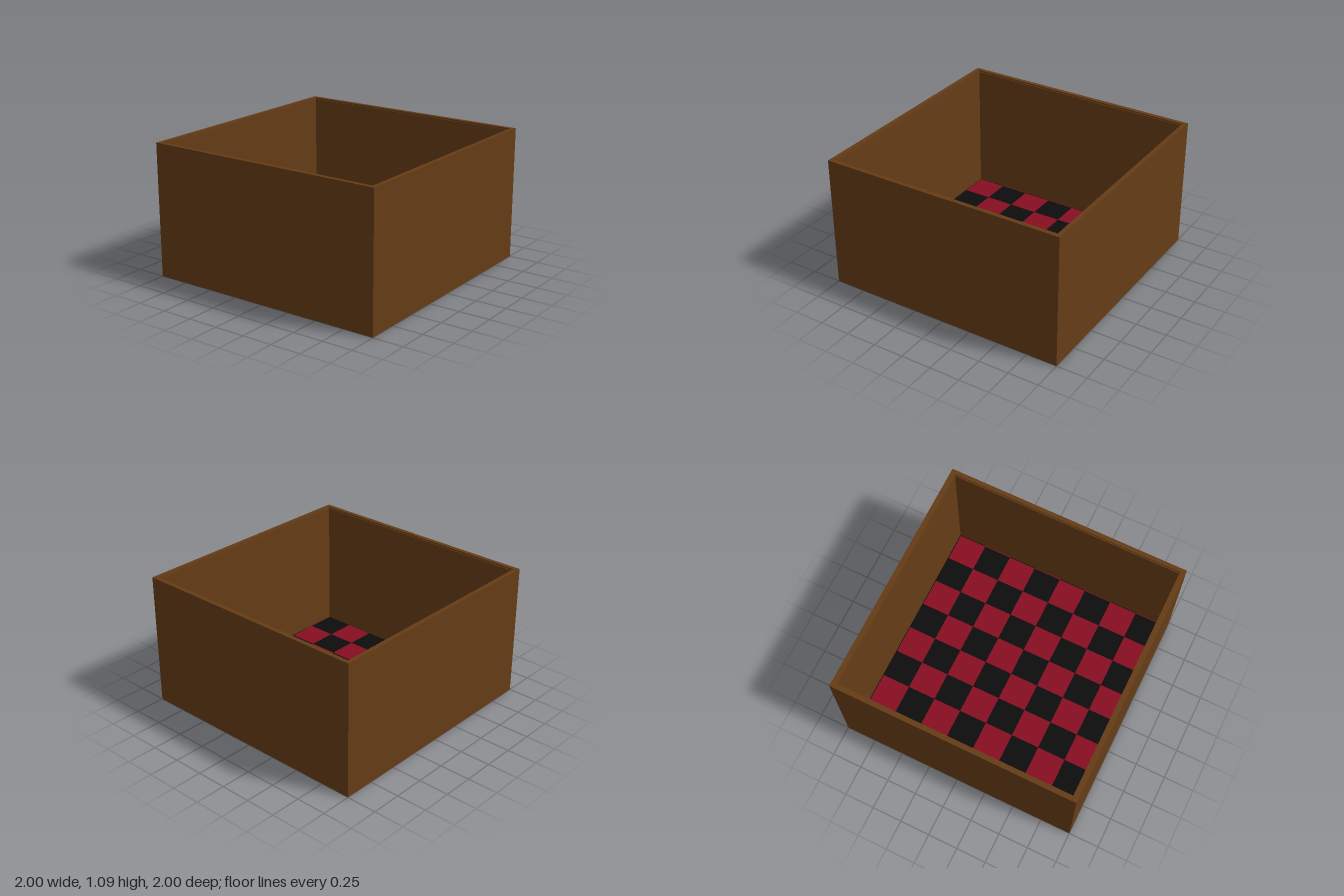
import * as THREE from 'three';

const HEIGHT = 1.085;
const material = (color) => new THREE.MeshStandardMaterial({ color });
const wood = material(0x653c16);
const red = material(0x880e22);
const black = material(0x0d0d0d);

// Square frame standing on y, from half-width outer to half-width inner
function squareFrame(name, outer, inner, y, height) {
  const square = (r) => [[-r, -r], [r, -r], [r, r], [-r, r]].map(([a, b]) => new THREE.Vector2(a, b));
  const shape = new THREE.Shape(square(outer));
  shape.holes.push(new THREE.Path(square(inner).reverse()));
  const geometry = new THREE.ExtrudeGeometry(shape, { depth: height, bevelEnabled: false });
  geometry.rotateX(-Math.PI / 2).translate(0, y, 0);
  const mesh = new THREE.Mesh(geometry, wood);
  mesh.name = name;
  return mesh;
}

function slab(name, width, height, depth, x, y, z, mat) {
  const mesh = new THREE.Mesh(new THREE.BoxGeometry(width, height, depth), mat);
  mesh.position.set(x, y + height / 2, z);
  mesh.name = name;
  return mesh;
}

export function createModel() {
  const model = new THREE.Group();
  model.name = 'openBoardBox';

  // Outer walls with a slightly lower inner lining
  model.add(squareFrame('walls', 1, 0.965, 0, HEIGHT));
  model.add(squareFrame('lining', 0.965, 0.957, 0, HEIGHT - 0.012));

  // Wooden base and the black bed under the squares
  model.add(slab('base', 1.93, 0.008, 1.93, 0, 0, 0, wood));
  model.add(slab('boardBed', 1.914, 0.003, 1.914, 0, 0.008, 0, black));

  // Eight by eight squares, with a sliver of the next colour at either side
  const board = new THREE.Group();
  board.name = 'checkerboard';
  const cell = 0.2375;
  const sliver = 0.006;
  for (let row = 0; row < 8; row++) {
    for (let col = -1; col <= 8; col++) {
      const edge = col < 0 || col > 7;
      const x = edge ? Math.sign(col) * (4 * cell + sliver / 2) : (col - 3.5) * cell;
      const z = (row - 3.5) * cell;
      const isRed = (row + col + 2) % 2 === 1;
      const geometry = new THREE.PlaneGeometry(edge ? sliver : cell, cell).rotateX(-Math.PI / 2);
      const square = new THREE.Mesh(geometry, isRed ? red : black);
      square.position.set(x, 0.014, z);
      square.name = isRed ? 'redSquare' : 'blackSquare';
      board.add(square);
    }
  }
  model.add(board);
  return model;
}
